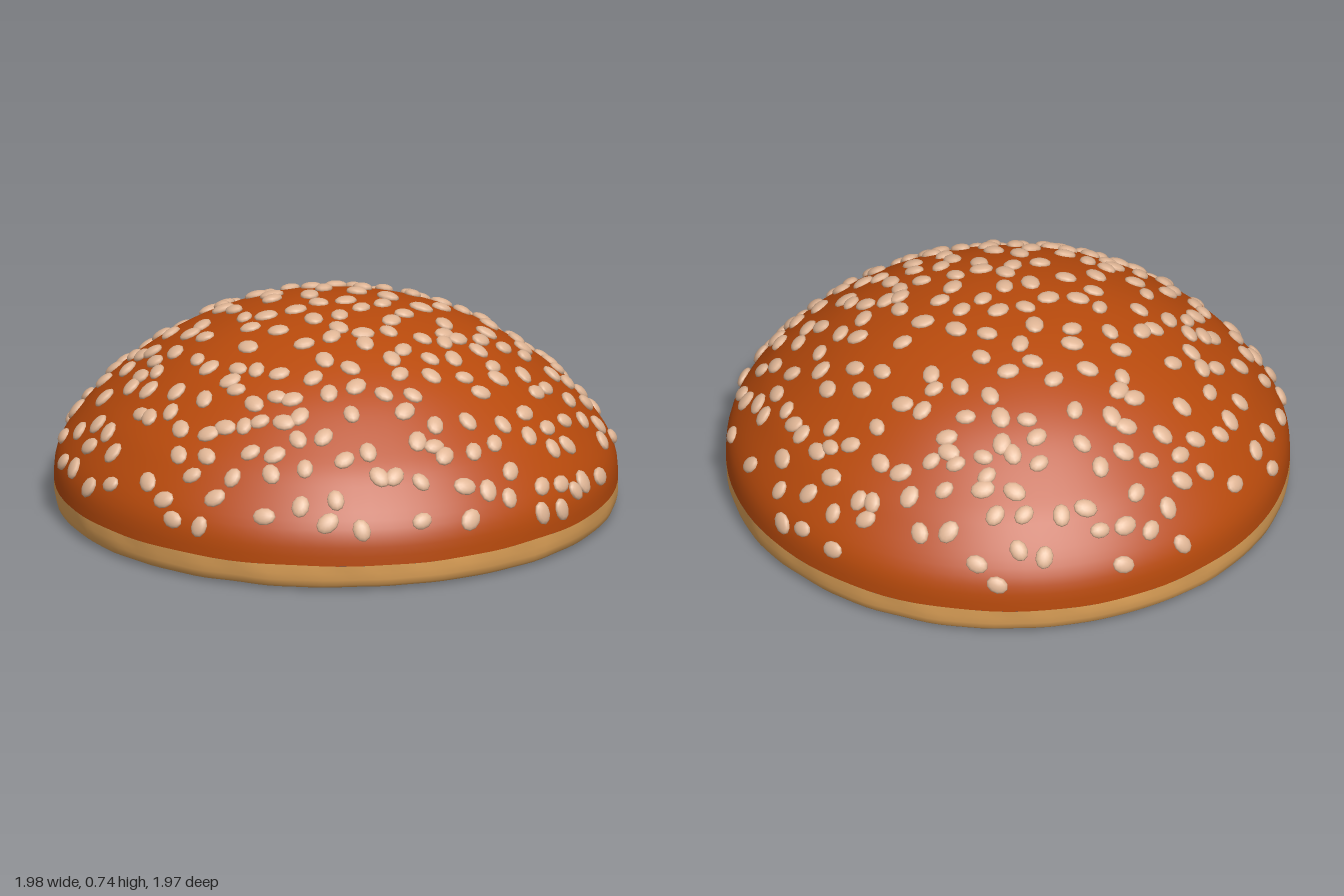
import * as THREE from 'three';
import { mergeGeometries, mergeVertices } from 'three/addons/utils/BufferGeometryUtils.js';

const v2 = (p) => new THREE.Vector2(p[0], p[1]);

// Crust outline from the crumb line up to the crown (radius, height)
const crustCurve = new THREE.SplineCurve([
  [0.985, 0.1], [0.98, 0.17], [0.955, 0.235], [0.89, 0.325], [0.8, 0.42], [0.6, 0.57],
  [0.4, 0.665], [0.2, 0.717], [0, 0.73],
].map(v2));

// Gentle hand-baked unevenness, a function of position so that seams stay closed
function wobble(p, amount, freq) {
  return amount * (Math.sin(p.x * freq + 1.3) * Math.cos(p.z * freq * 1.17)
    + 0.6 * Math.sin(p.z * freq * 0.7 + p.y * freq + p.x * 3));
}

// Turn a profile, nudge its vertices and smooth the normals
function bakedLathe(points, segments, nudge) {
  let geo = new THREE.LatheGeometry(points, segments);
  geo.deleteAttribute('uv');
  geo.deleteAttribute('normal');
  geo = mergeVertices(geo, 1e-4);
  const pos = geo.attributes.position;
  const p = new THREE.Vector3();
  for (let i = 0; i < pos.count; i++) {
    p.fromBufferAttribute(pos, i);
    nudge(p);
    pos.setXYZ(i, p.x, p.y, p.z);
  }
  geo.computeVertexNormals();
  return geo;
}

function seededRandom(seed) {
  return () => {
    seed = (seed * 1664525 + 1013904223) % 4294967296;
    return seed / 4294967296;
  };
}

// Scatter flattened seeds over the crust, thinning out towards the rim
function seedGeometry() {
  const random = seededRandom(77);
  const base = new THREE.SphereGeometry(1, 10, 8);
  const up = new THREE.Vector3(0, 1, 0);
  const placed = [];
  const seeds = [];
  for (let tries = 0; tries < 9000 && seeds.length < 265; tries++) {
    const t = random();
    const angle = random() * Math.PI * 2;
    const q = crustCurve.getPointAt(t);
    const density = THREE.MathUtils.smoothstep(q.y, 0.1, 0.5);
    if (q.y < 0.16 || random() > q.x * (0.12 + 0.88 * density)) continue;
    const c = new THREE.Vector3(q.x * Math.sin(angle), q.y, q.x * Math.cos(angle));
    const gap = random() < 0.12 ? 0.05 : 0.088;
    if (placed.some((o) => o.distanceTo(c) < gap)) continue;
    placed.push(c);
    const tan = crustCurve.getTangentAt(t);
    const normal = new THREE.Vector3(tan.y * Math.sin(angle), -tan.x, tan.y * Math.cos(angle));
    const turn = new THREE.Quaternion().setFromUnitVectors(up, normal)
      .multiply(new THREE.Quaternion().setFromAxisAngle(up, random() * Math.PI * 2));
    const size = 0.93 + random() * 0.2;
    const scale = new THREE.Vector3(0.039 * size, 0.017, 0.03 * size);
    c.addScaledVector(normal, 0.003);
    seeds.push(base.clone().applyMatrix4(new THREE.Matrix4().compose(c, turn, scale)));
  }
  return mergeGeometries(seeds);
}

export function createModel() {
  const paint = (name, color) => {
    const m = new THREE.MeshStandardMaterial({ color });
    m.name = name;
    return m;
  };
  const crustBrown = paint('crustBrown', 0xb84a0c);
  const crumbTan = paint('crumbTan', 0xdfa258);
  const seedCream = paint('seedCream', 0xdfb595);

  const group = new THREE.Group();
  group.name = 'bunTop';
  const add = (name, geo, mat) => {
    const mesh = new THREE.Mesh(geo, mat);
    mesh.name = name;
    group.add(mesh);
  };

  // Domed crust
  add('crust', bakedLathe(crustCurve.getSpacedPoints(40), 96, (p) => {
    const fade = THREE.MathUtils.smoothstep(p.y, 0.1, 0.2);
    p.y += fade * wobble(p, 0.002, 9);
    if (p.y < 0.101) p.y += wobble(p, 0.002, 14);
  }), crustBrown);

  // Cut crumb: soft rim band rolling under to the flat underside
  const crumbProfile = [
    [0, 0.008], [0.2, 0.008], [0.4, 0.008], [0.6, 0.008], [0.8, 0.008], [0.9, 0.008], [0.945, 0.009],
    [0.965, 0.014], [0.977, 0.025], [0.982, 0.045], [0.985, 0.07], [0.985, 0.1],
  ].map(v2);
  add('crumb', bakedLathe(crumbProfile, 128, (p) => {
    if (p.y > 0.099) { p.y += wobble(p, 0.002, 14); return; }
    const k = 1 + wobble(p, 0.0025, 24);
    p.x *= k;
    p.z *= k;
    p.y += wobble(p, 0.002, 22);
  }), crumbTan);

  // Sesame seeds
  add('sesameSeeds', seedGeometry(), seedCream);

  return group;
}
